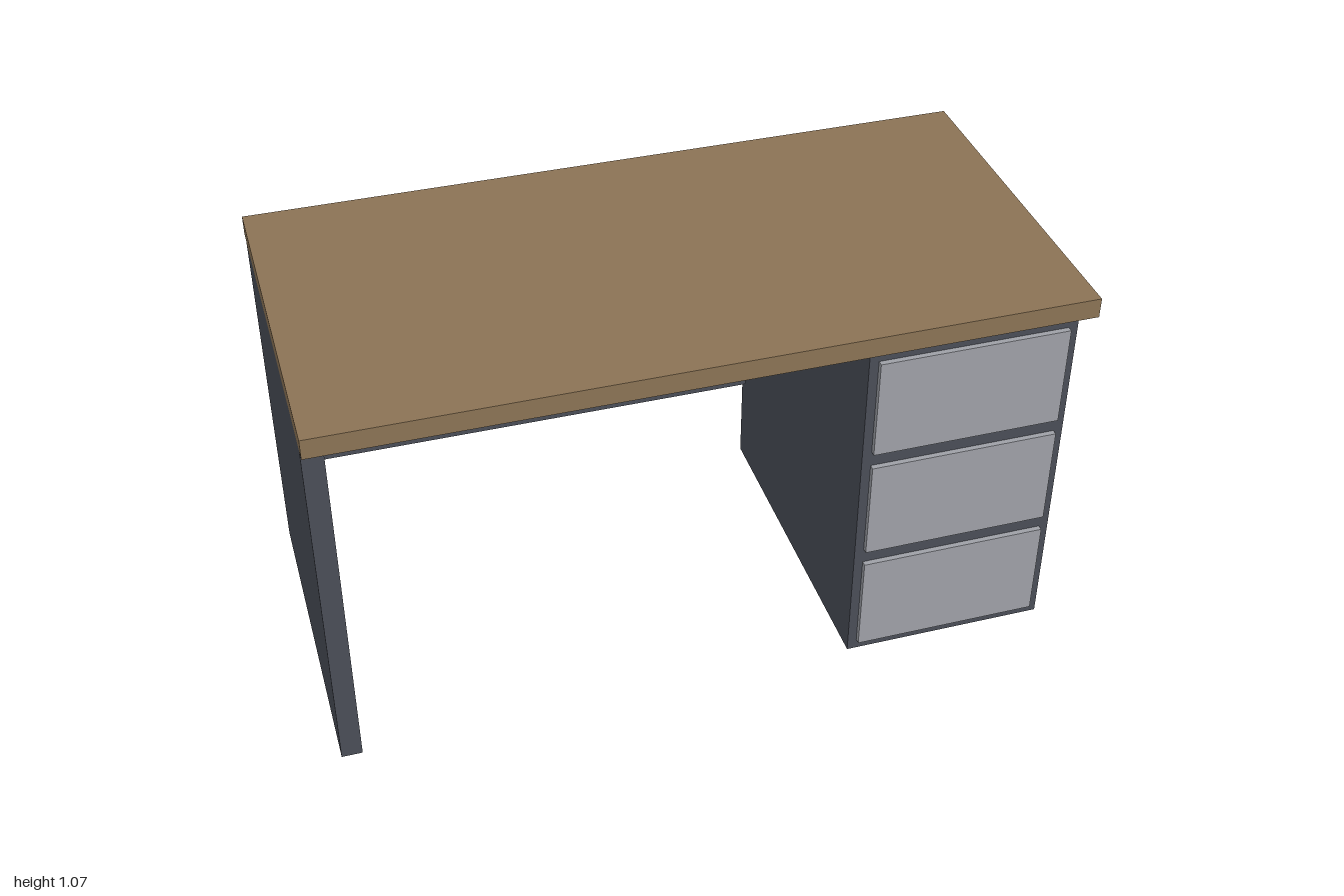
import * as THREE from 'three';

export function createModel() {
  const desk = new THREE.Group();
  desk.name = 'desk';

  const material = (name, color) => {
    const m = new THREE.MeshStandardMaterial({ color });
    m.name = name;
    return m;
  };
  const wood = material('brown wood', 0x8b7355);
  const body = material('dark grey', 0x4a4e57);
  const drawerGrey = material('light grey', 0x9ea0a7);

  // Box given by its limits along each axis
  const addBox = (name, mat, [x0, x1], [y0, y1], [z0, z1]) => {
    const mesh = new THREE.Mesh(new THREE.BoxGeometry(x1 - x0, y1 - y0, z1 - z0), mat);
    mesh.position.set((x0 + x1) / 2, (y0 + y1) / 2, (z0 + z1) / 2);
    mesh.name = name;
    desk.add(mesh);
  };

  const depth = [-0.465, 0.465];
  addBox('deskTop', wood, [-1, 1], [1.016, 1.071], [-0.5, 0.5]);
  addBox('sidePanel', body, [-1, -0.945], [0, 1.016], depth);
  addBox('modestyPanel', body, [-0.945, 0.392], [0.29, 1.0], [-0.46, -0.411]);
  addBox('drawerCabinet', body, [0.402, 0.965], [0, 1.016], depth);

  // Drawer fronts, bottom to top
  for (let i = 0; i < 3; i++) {
    const y = 0.03 + i * 0.329;
    addBox(`drawerFront${i + 1}`, drawerGrey, [0.427, 0.94], [y, y + 0.285], [0.465, 0.48]);
  }

  return desk;
}
